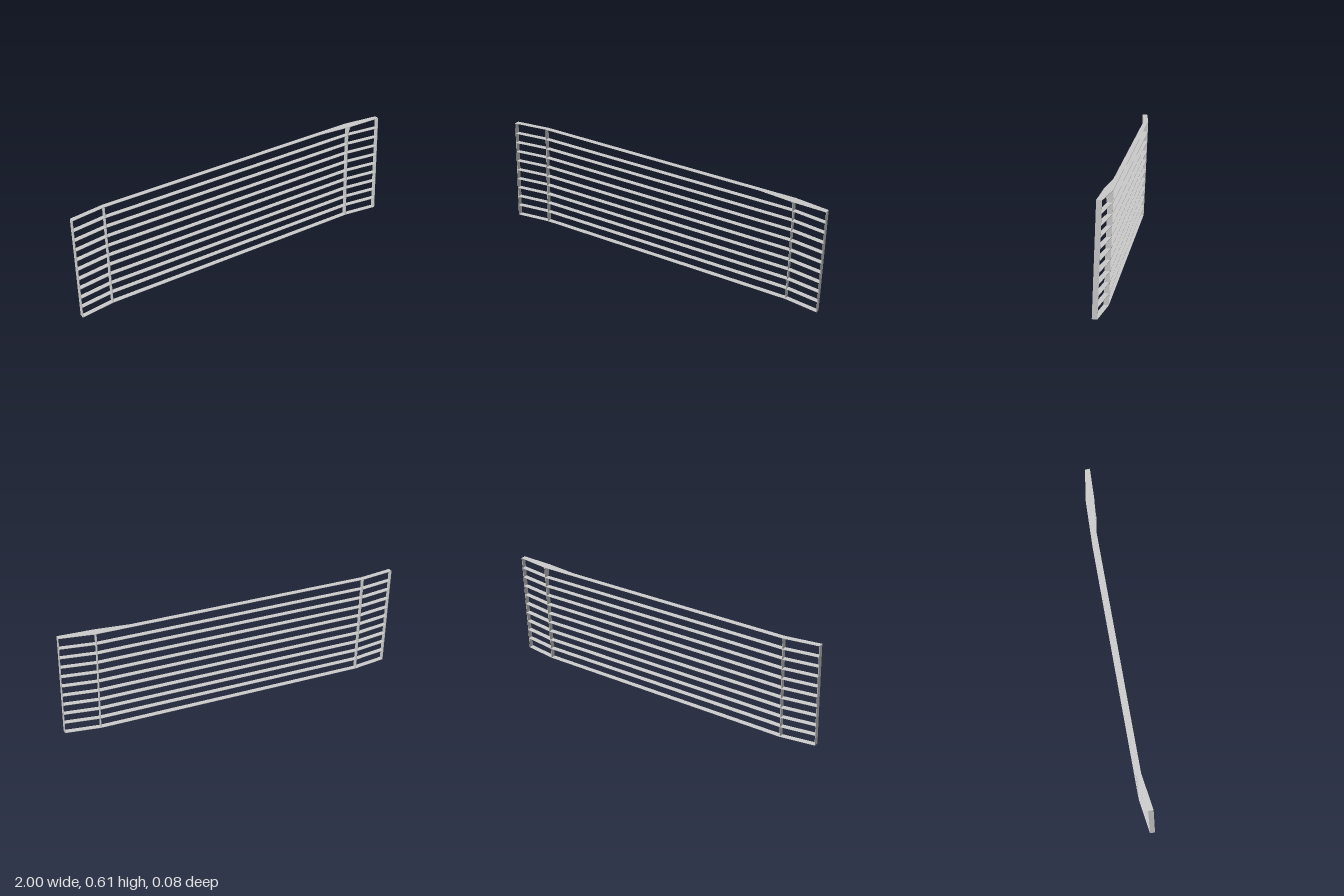
import * as THREE from 'three';

const DEPTH = 0.0285;  // depth of every blade
const SWEEP = 0.0285;  // how far the ends come forward
const BEND = 0.8;      // x of the inner uprights
const HALF = 0.00125;  // half the sheet thickness
const HEIGHT = 0.611;
const GUSSET = 0.0215; // forward bulge at the top left bend

// Thin solid blade along a path of [x, y, backZ, frontZ] stations;
// (ox, oy) is half its thickness, square to the run
function blade(name, path, ox, oy, material) {
  const rings = path.map(([x, y, back, front]) => [
    [x - ox, y - oy, back], [x - ox, y - oy, front],
    [x + ox, y + oy, front], [x + ox, y + oy, back],
  ]);
  const p = [];
  const quad = (a, b, c, d) => p.push(...a, ...b, ...c, ...a, ...c, ...d);
  for (let i = 0; i < rings.length - 1; i++) {
    const [r, s] = [rings[i], rings[i + 1]];
    for (let j = 0; j < 4; j++) {
      const k = (j + 1) % 4;
      quad(r[j], s[j], s[k], r[k]);
    }
  }
  quad(...rings[0]);
  quad(...rings[rings.length - 1].reverse());
  const geometry = new THREE.BufferGeometry();
  geometry.setAttribute('position', new THREE.Float32BufferAttribute(p, 3));
  geometry.computeVertexNormals();
  const mesh = new THREE.Mesh(geometry, material);
  mesh.name = name;
  return mesh;
}

export function createModel() {
  const model = new THREE.Group();
  model.name = 'slattedGrille';
  const material = new THREE.MeshStandardMaterial({ color: 0xcccccc, flatShading: true });

  const grille = new THREE.Group();
  grille.name = 'leaningGrille';
  const heights = [HALF];
  for (let i = 0; i < 9; i++) heights.push(0.064 + i * 0.06);
  heights.push(HEIGHT - HALF);
  const top = heights.length - 1;

  // Horizontal blades with swept ends; the top rail has a gusset on its left bend
  const xs = [-1, -BEND, 0.6, BEND, 1];
  heights.forEach((y, row) => {
    const path = xs.map((x) => {
      const back = Math.abs(x) === 1 ? SWEEP : 0;
      const gusset = row === top && x === BEND ? GUSSET : 0;
      return [x, y, back, back + DEPTH + gusset];
    });
    const name = row === top ? 'topRail' : row === 0 ? 'bottomRail' : 'slat' + row;
    grille.add(blade(name, path, 0, HALF, material));
  });

  // Uprights at the ends and at the bends; the left inner one flares into the gusset
  const flare = [[0, 0], [0.5, 0], [0.545, 0.003], [0.58, 0.009], [HEIGHT, GUSSET]];
  for (const side of [-1, 1]) {
    const prefix = side > 0 ? 'left' : 'right';
    const endPath = [0, HEIGHT].map((y) => [side * (1 - HALF), y, SWEEP, SWEEP + DEPTH]);
    grille.add(blade(prefix + 'EndUpright', endPath, -HALF, 0, material));

    const innerPath = flare.map(([y, f]) => [side * BEND, y, 0, DEPTH + (side > 0 ? f : 0)]);
    grille.add(blade(prefix + 'InnerUpright', innerPath, -HALF, 0, material));
  }

  // Lean the whole grille slightly backwards
  grille.rotation.x = -0.043;
  grille.position.z = -0.0155;
  model.add(grille);
  return model;
}
